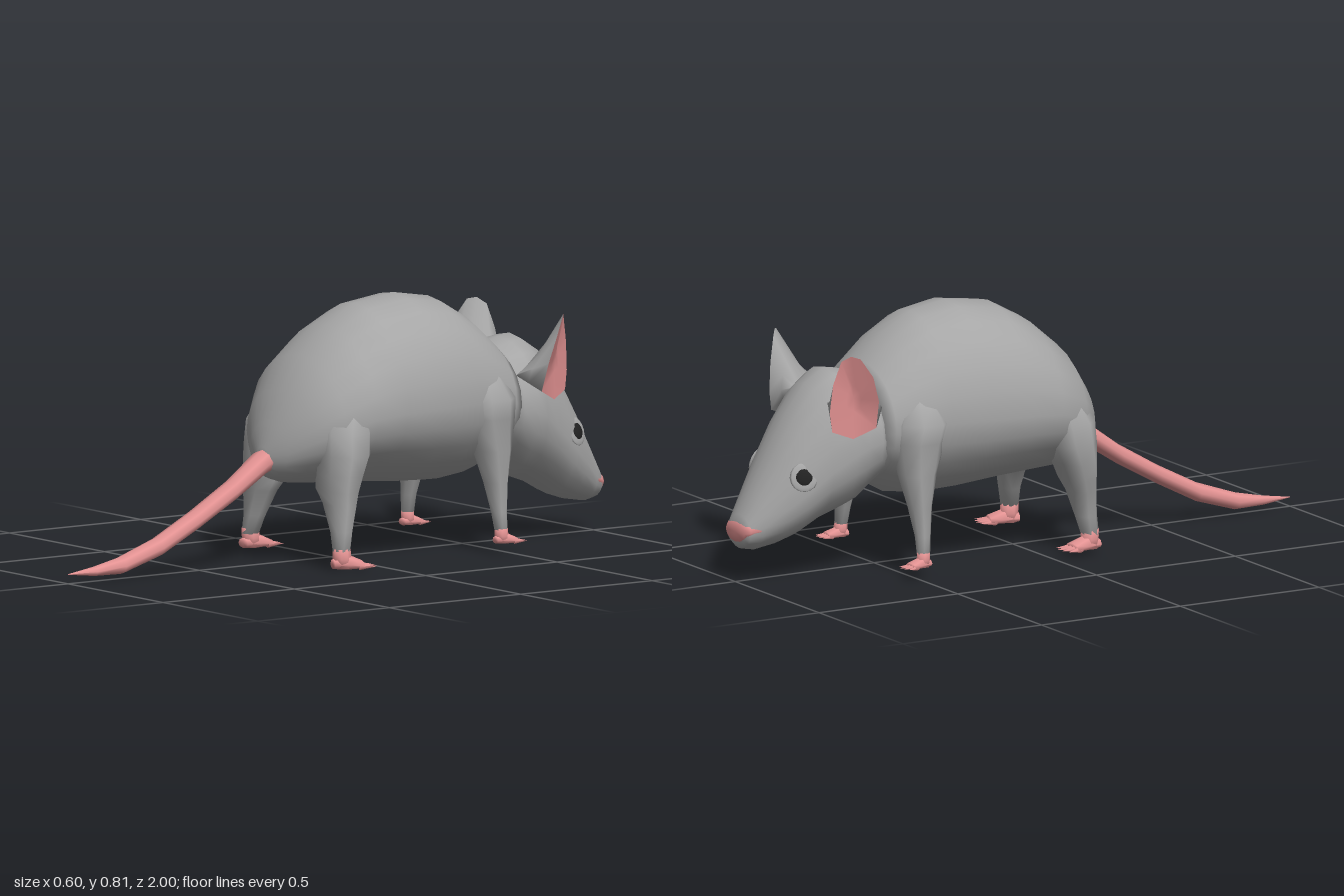
import * as THREE from 'three';

const V = (x, y, z) => new THREE.Vector3(x, y, z);

// Skins a list of rings (equal point counts); faces point away from ref
function loft(rings, capA = true, capB = true, ref = null) {
  const n = rings[0].length, pts = rings.flat(), idx = [];
  for (let r = 0; r < rings.length - 1; r++) {
    for (let i = 0; i < n; i++) {
      const a = r * n + i, b = r * n + (i + 1) % n;
      idx.push(a, b, a + n, b, b + n, a + n);
    }
  }
  const cap = (r, flip) => {
    const c = rings[r].reduce((s, p) => s.add(p), V(0, 0, 0)).divideScalar(n);
    const k = pts.push(c) - 1;
    for (let i = 0; i < n; i++) {
      const a = r * n + i, b = r * n + (i + 1) % n;
      idx.push(...(flip ? [k, b, a] : [k, a, b]));
    }
  };
  if (capA) cap(0, true);
  if (capB) cap(rings.length - 1, false);
  const o = ref || pts.reduce((s, p) => s.add(p), V(0, 0, 0)).divideScalar(pts.length);
  let vol = 0;
  for (let i = 0; i < idx.length; i += 3) {
    const [a, b, c] = [0, 1, 2].map(k => pts[idx[i + k]].clone().sub(o));
    vol += a.dot(b.cross(c));
  }
  if (vol < 0) idx.reverse();
  const g = new THREE.BufferGeometry().setFromPoints(pts);
  g.setIndex(idx);
  g.computeVertexNormals();
  return g;
}

// Upright egg-shaped ring: z, top, bottom, half width, height of widest point;
// a taper above 1 flattens the lower flanks
function egg([z, top, bot, w, wy], n = 20, taper = 1) {
  return Array.from({ length: n }, (_, i) => {
    const a = i / n * Math.PI * 2, s = Math.sin(a), c = Math.cos(a);
    const x = s < 0 ? Math.sign(c) * Math.abs(c) ** taper : c;
    return V(w * x, wy + s * (s > 0 ? top - wy : wy - bot), z);
  });
}

// Level ring: centre x, y, z and radii along x and z
function level([x, y, z, rx, rz], s = 1, n = 8) {
  return Array.from({ length: n }, (_, i) => {
    const a = (i + 0.5) / n * Math.PI * 2;
    return V(s * (x + rx * Math.cos(a)), y, z + rz * Math.sin(a));
  });
}

export function createModel() {
  const model = new THREE.Group();
  model.name = 'rodent';
  const mat = (name, color) => {
    const m = new THREE.MeshStandardMaterial({ color });
    m.name = name;
    return m;
  };
  const fur = mat('greyFur', 0xa6a6a6);
  const pink = mat('pinkSkin', 0xe49393);
  const black = mat('eyeBlack', 0x222222);
  const add = (name, geo, m, parent = model) => {
    const mesh = new THREE.Mesh(geo, m);
    mesh.name = name;
    parent.add(mesh);
    return mesh;
  };

  // Body, from rump to neck
  add('body', loft([
    [0.26, 0.365, 0.29, 0.035, 0.33], [0.235, 0.44, 0.265, 0.10, 0.35],
    [0.19, 0.54, 0.25, 0.18, 0.39], [0.12, 0.64, 0.242, 0.25, 0.43],
    [0.02, 0.725, 0.237, 0.277, 0.46], [-0.09, 0.785, 0.23, 0.283, 0.47],
    [-0.24, 0.806, 0.217, 0.282, 0.475], [-0.37, 0.785, 0.212, 0.262, 0.475],
    [-0.47, 0.725, 0.225, 0.245, 0.47], [-0.55, 0.65, 0.27, 0.22, 0.46],
    [-0.58, 0.62, 0.29, 0.205, 0.45],
  ].map(r => egg(r, 24, 1.2))), fur);

  // Head, from neck to blunt snout
  add('head', loft([
    [-0.54, 0.60, 0.29, 0.19, 0.44], [-0.59, 0.622, 0.255, 0.208, 0.43],
    [-0.64, 0.636, 0.21, 0.21, 0.42], [-0.68, 0.643, 0.195, 0.205, 0.40],
    [-0.75, 0.60, 0.17, 0.178, 0.35], [-0.82, 0.51, 0.13, 0.155, 0.29],
    [-0.88, 0.41, 0.11, 0.127, 0.24], [-0.95, 0.28, 0.098, 0.09, 0.18],
    [-0.985, 0.212, 0.105, 0.068, 0.16], [-0.997, 0.192, 0.12, 0.054, 0.155],
  ].map(r => egg(r))), fur);

  // Nose band across the snout tip
  add('nose', loft([
    [-0.957, 0.195, 0.15, 0.088, 0.172], [-0.985, 0.199, 0.133, 0.072, 0.165],
    [-1, 0.189, 0.128, 0.056, 0.16],
  ].map(r => egg(r, 12))), pink);

  // Tail: z, y, half width, half height
  add('tail', loft([
    [0.22, 0.335, 0.05, 0.037], [0.27, 0.315, 0.049, 0.037], [0.38, 0.24, 0.043, 0.032],
    [0.52, 0.16, 0.041, 0.03], [0.66, 0.088, 0.039, 0.03], [0.8, 0.042, 0.034, 0.027],
    [0.9, 0.032, 0.02, 0.015], [1, 0.03, 0.001, 0.001],
  ].map(([z, y, w, h]) => egg([z, y + h, y - h, w, y], 8))), pink);

  // Paw with an ankle, a sole and four spread toes, pointing to -z
  const paw = (name, x, y, z, size, turn) => {
    const g = new THREE.Group();
    g.name = name;
    g.position.set(x, y, z);
    g.rotation.y = turn;
    g.scale.setScalar(size);
    add('ankle', loft([
      [0, 0.066, 0, 0.028, 0.028], [0, 0.035, -0.002, 0.029, 0.029], [0, 0.006, -0.004, 0.028, 0.03],
    ].map(r => level(r))), pink, g);
    add('sole', loft([
      [0.028, 0.035, 0.004, 0.024, 0.018], [-0.02, 0.048, 0, 0.031, 0.018],
      [-0.066, 0.028, 0.002, 0.037, 0.013],
    ].map(r => egg(r, 8))), pink, g);
    for (let i = 0; i < 4; i++) {
      const toe = add('toe', new THREE.ConeGeometry(0.011, 0.055, 6), pink, g);
      const k = i - 1.5;
      toe.position.set(k * 0.02, 0.011, -0.088 + Math.abs(k) * 0.008);
      toe.rotation.set(-Math.PI / 2, -k * 0.16, 0, 'YXZ');
    }
    model.add(g);
  };

  for (const s of [1, -1]) {
    const side = s > 0 ? 'left' : 'right';
    const d = s > 0 ? 0.012 : -0.008; // the hind legs stand slightly unevenly

    // Hind leg: haunch to ankle
    add(side + 'HindLeg', loft([
      [0.175, 0.5, 0.06, 0.07, 0.06], [0.19, 0.42, 0.082, 0.09, 0.085],
      [0.195, 0.35, 0.09, 0.095, 0.08], [0.192, 0.29, 0.106, 0.097, 0.065],
      [0.192, 0.24, 0.115, 0.093, 0.052], [0.208 + d / 2, 0.2, 0.122, 0.073, 0.042],
      [0.226 + d, 0.12, 0.132, 0.043, 0.033], [0.238 + d, 0.06, 0.14, 0.028, 0.028],
    ].map(r => level(r, s))), fur);
    paw(side + 'HindPaw', s * (0.238 + d), s > 0 ? 0.001 : 0.012, 0.14, 1, s > 0 ? -0.3 : 0.05);

    // Front leg: shoulder to wrist
    add(side + 'FrontLeg', loft([
      [0.175, 0.55, -0.45, 0.06, 0.06], [0.203, 0.48, -0.45, 0.08, 0.092],
      [0.2, 0.42, -0.458, 0.072, 0.085], [0.203, 0.32, -0.467, 0.068, 0.06],
      [0.22, 0.22, -0.468, 0.048, 0.036], [0.238, 0.13, -0.468, 0.029, 0.024],
      [0.246, 0.075, -0.47, 0.021, 0.021],
    ].map(r => level(r, s))), fur);
    paw(side + 'FrontPaw', s * 0.247, 0.03, -0.47, 0.74, -s * 0.1);

    // Ear: grey shell joined to neck and brow, pink hollow facing out and forward
    const rim = [
      [0.235, 0.49, -0.633], [0.262, 0.58, -0.64], [0.27, 0.66, -0.665],
      [0.252, 0.718, -0.7], [0.228, 0.724, -0.72], [0.203, 0.705, -0.74],
      [0.187, 0.63, -0.76], [0.18, 0.54, -0.768], [0.182, 0.48, -0.76], [0.208, 0.457, -0.7],
    ].map(([x, y, z]) => V(s * x, y, z));
    const neck = V(s * 0.175, 0.54, -0.575), brow = V(s * 0.1, 0.56, -0.73);
    const toHead = k => rim.map(p =>
      p.clone().lerp(neck.clone().lerp(brow, (-0.633 - p.z) / 0.135), k));
    const hollow = V(s * 0.21, 0.585, -0.7);
    const inner = rim.map(p => p.clone().lerp(hollow, 0.7));
    const core = neck.clone().lerp(brow, 0.5);
    add(side + 'Ear', loft([rim, toHead(0.5), toHead(0.95)], false, true), fur);
    add(side + 'EarHollow', loft([rim, inner], false, true, core), pink);

    // Eye with a surrounding lid
    const eye = new THREE.Group();
    eye.name = side + 'Eye';
    eye.position.set(s * 0.138, 0.338, -0.835);
    eye.lookAt(eye.position.clone().add(V(s * 0.88, 0.28, -0.38)));
    add('lid', new THREE.SphereGeometry(0.045, 12, 8), fur, eye).scale.z = 0.15;
    add('eyeball', new THREE.SphereGeometry(0.03, 12, 8), black, eye).scale.z = 0.36;
    model.add(eye);
  }
  return model;
}
